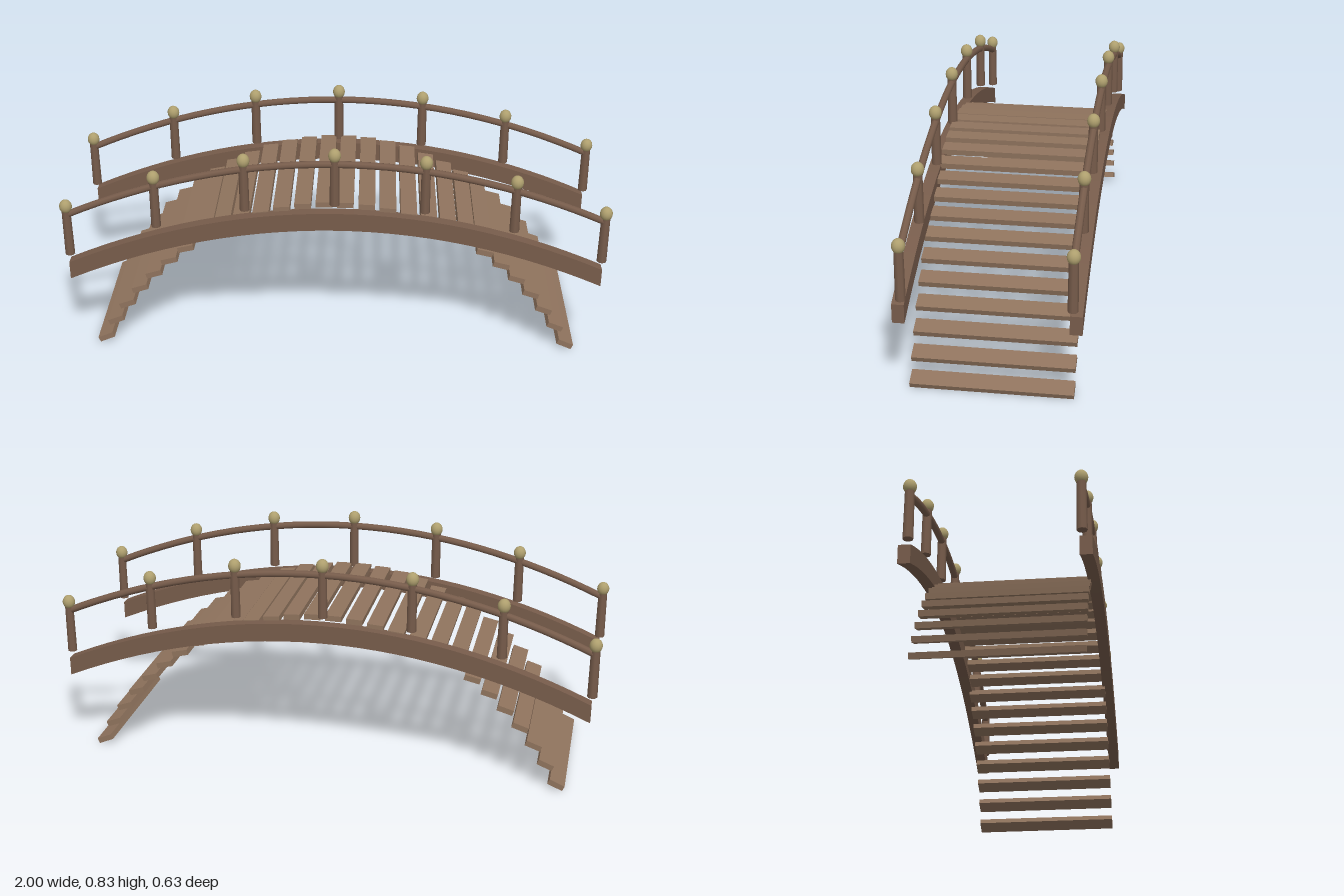
import * as THREE from 'three';

const HALF = 0.977;      // half span of beams and rails
const DROP = 0.218;      // how far beams and rails fall towards the ends
const SIDE_Z = 0.282;    // rail and post line
const fall = (x) => DROP * (x / HALF) ** 2;

const wood = (color) => new THREE.MeshStandardMaterial({ color });

export function createModel() {
  const model = new THREE.Group();
  model.name = 'archedFootbridge';
  const beamMat = wood(0x775c4b);
  const plankMat = wood(0x8f735d);
  const knobMat = wood(0xae9f6e);

  const add = (parent, name, geometry, material, x = 0, y = 0, z = 0) => {
    const mesh = new THREE.Mesh(geometry, material);
    mesh.name = name;
    mesh.position.set(x, y, z);
    parent.add(mesh);
    return mesh;
  };

  // Arched side beam: two parallel curves joined by upright ends
  const steps = 28;
  const outline = [];
  for (let i = 0; i <= steps; i++) {
    const x = -HALF + (2 * HALF * i) / steps;
    outline.push(new THREE.Vector2(x, 0.514 - fall(x)));
  }
  for (let i = steps; i >= 0; i--) {
    const x = -HALF + (2 * HALF * i) / steps;
    outline.push(new THREE.Vector2(x, 0.583 - fall(x)));
  }
  const beamGeo = new THREE.ExtrudeGeometry(new THREE.Shape(outline), { depth: 0.042, bevelEnabled: false });
  beamGeo.translate(0, 0, -0.021);

  // Handrail path, a parabola
  const railPath = new THREE.QuadraticBezierCurve3(
    new THREE.Vector3(-HALF, 0.766 - DROP, 0),
    new THREE.Vector3(0, 0.766 + DROP, 0),
    new THREE.Vector3(HALF, 0.766 - DROP, 0)
  );
  const railGeo = new THREE.TubeGeometry(railPath, 32, 0.0135, 8);

  const postGeo = new THREE.CylinderGeometry(0.0165, 0.018, 0.18, 8);
  const knobGeo = new THREE.SphereGeometry(0.023, 16, 12);
  knobGeo.scale(1, 1.15, 1);

  // Both sides: beam, handrail, seven posts with knobs
  for (const side of [1, -1]) {
    const railing = new THREE.Group();
    railing.name = side > 0 ? 'frontSide' : 'backSide';
    add(railing, 'archBeam', beamGeo, beamMat, 0, 0, side * 0.293);
    add(railing, 'handrail', railGeo, beamMat, 0, 0, side * SIDE_Z);
    for (let i = -3; i <= 3; i++) {
      const x = (HALF * i) / 3;
      add(railing, 'post', postGeo, beamMat, x, 0.693 - fall(x), side * SIDE_Z);
      add(railing, 'postKnob', knobGeo, knobMat, x, 0.8 - fall(x), side * SIDE_Z);
    }
    model.add(railing);
  }

  // Deck planks along a steeper elliptical arc, tilting gently with the slope
  const deck = new THREE.Group();
  deck.name = 'deck';
  const plankGeo = new THREE.BoxGeometry(0.06, 0.021, 2 * SIDE_Z);
  const count = 28;
  for (let i = 0; i < count; i++) {
    const angle = (i - (count - 1) / 2) * 0.0759;
    const x = 1.02 * Math.sin(angle);
    const y = 0.602 - 1.218 * (1 - Math.cos(angle));
    add(deck, 'plank', plankGeo, plankMat, x, y, 0).rotation.z = -0.4 * angle;
  }
  model.add(deck);

  return model;
}
